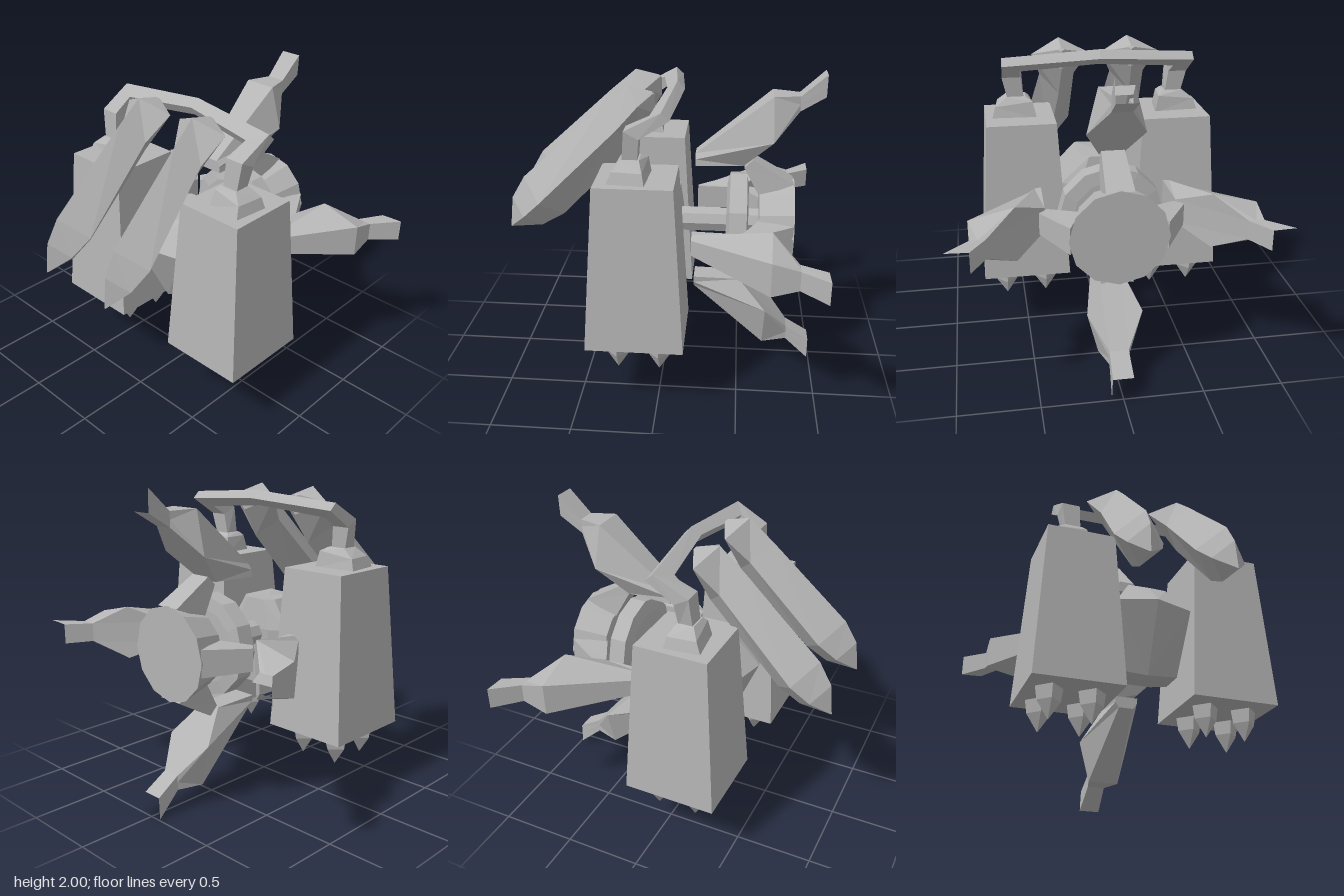
import * as THREE from 'three';

const grey = new THREE.MeshStandardMaterial({ color: 0xb4b4b4, flatShading: true });
grey.name = 'hull grey';

// Faceted skin through rings of equal point count; winding is fixed by signed volume.
function loft(name, rings, openEnd = false) {
  const tris = [];
  const n = rings[0].length;
  for (let i = 0; i < rings.length - 1; i++) {
    for (let j = 0; j < n; j++) {
      const k = (j + 1) % n;
      const a = rings[i][j], b = rings[i][k], c = rings[i + 1][k], d = rings[i + 1][j];
      // Diagonals mirror across the ring's first point
      if (j < n / 2) tris.push([a, b, c], [a, c, d]);
      else tris.push([a, b, d], [b, c, d]);
    }
  }
  const cap = (ring, flip) => {
    const mid = [0, 1, 2].map(q => ring.reduce((s, p) => s + p[q], 0) / n);
    ring.forEach((p, j) => {
      const next = ring[(j + 1) % n];
      tris.push(flip ? [mid, next, p] : [mid, p, next]);
    });
  };
  cap(rings[0], true);
  if (!openEnd) cap(rings[rings.length - 1], false);
  let volume = 0;
  const v = tris.map(t => t.map(p => new THREE.Vector3(...p)));
  v.forEach(t => { volume += t[0].dot(t[1].clone().cross(t[2])); });
  const points = v.flatMap(t => (volume < 0 ? [t[0], t[2], t[1]] : t));
  const geometry = new THREE.BufferGeometry().setFromPoints(points);
  geometry.computeVertexNormals();
  const mesh = new THREE.Mesh(geometry, grey);
  mesh.name = name;
  return mesh;
}

// Horizontal rectangle used as a loft ring
const rect = (x, y, z, hx, hz) =>
  [[x - hx, y, z - hz], [x + hx, y, z - hz], [x + hx, y, z + hz], [x - hx, y, z + hz]];

// Round part along z from [radius, z] pairs, centred on the thruster axis
function turned(name, profile, sides) {
  const rings = profile.map(([r, z]) => Array.from({ length: sides }, (_, i) => {
    const a = (i / sides) * Math.PI * 2 + Math.PI / 2;
    return [r * Math.cos(a), 1 + r * Math.sin(a), z];
  }));
  return loft(name, rings);
}

// Tapered leg block with its claws and stepped collar
function leg(s) {
  const g = new THREE.Group();
  g.name = s > 0 ? 'leftLeg' : 'rightLeg';
  const x = 0.5 * s;
  g.add(loft('legBlock', [rect(x, 0.43, 0.135, 0.285, 0.302), rect(x, 1.47, 0.135, 0.222, 0.236)]));
  const collar = [
    [[0.39, 1.46, 0.055], [0.68, 1.46, 0.07], [0.655, 1.46, 0.3], [0.415, 1.46, 0.265]],
    [[0.415, 1.57, 0.07], [0.655, 1.54, 0.085], [0.635, 1.54, 0.265], [0.43, 1.57, 0.24]],
    [[0.455, 1.595, 0.11], [0.575, 1.595, 0.11], [0.575, 1.595, 0.22], [0.455, 1.595, 0.22]],
  ];
  g.add(loft('collar', collar.map(r => r.map(([px, py, pz]) => [px * s, py, pz]))));
  for (const cx of [0.37, 0.635]) {
    for (const cz of [-0.01, 0.25]) {
      const rings = [[0.088, 0.44], [0.074, 0.345], [0.003, 0.235]].map(([r, y]) =>
        Array.from({ length: 4 }, (_, i) => {
          const a = (i * Math.PI) / 2;
          return [cx * s + r * Math.sin(a), y, cz + r * Math.cos(a)];
        }));
      g.add(loft('claw', rings));
    }
  }
  return g;
}

// Diamond-section pod slanting forward and down: [x, y, z, half width, half depth]
function pod(s) {
  const stations = [
    [0.225, 1.905, 0.06, 0.02, 0.015],
    [0.225, 1.865, 0.135, 0.185, 0.12],
    [0.235, 1.7, 0.275, 0.115, 0.155],
    [0.26, 1.235, 0.76, 0.156, 0.173],
    [0.265, 1.125, 0.873, 0.11, 0.13],
    [0.27, 1.02, 0.983, 0.004, 0.004],
  ];
  const rings = stations.map(([x, y, z, hx, hu]) => Array.from({ length: 4 }, (_, i) => {
    const a = (i * Math.PI) / 2;
    const u = hu * Math.cos(a) * Math.SQRT1_2;
    return [s * (x + hx * Math.sin(a)), y + u, z + u];
  }));
  return loft(s > 0 ? 'leftPod' : 'rightPod', rings);
}

// Half of the bent handle: across, forward, then down into the collar
function handle(s) {
  const rings = [
    [[0, 1.93, -0.07], [0, 1.88, -0.118], [0, 1.83, -0.04], [0, 1.885, -0.005]],
    [[0.605, 1.885, -0.02], [0.605, 1.84, -0.068], [0.495, 1.785, 0.02], [0.495, 1.84, 0.055]],
    [[0.595, 1.77, 0.197], [0.605, 1.725, 0.108], [0.485, 1.725, 0.108], [0.475, 1.77, 0.197]],
    [[0.57, 1.57, 0.212], [0.57, 1.57, 0.122], [0.468, 1.57, 0.122], [0.468, 1.57, 0.212]],
  ];
  return loft(s > 0 ? 'leftHandle' : 'rightHandle', rings.map(r => r.map(([x, y, z]) => [x * s, y, z])));
}

// Ring of mirrored pairs, outer to inner: [radius, half width, z]
const pairs = (...p) => [
  ...p.map(([r, w, z]) => [w, r, z]),
  ...p.slice().reverse().map(([r, w, z]) => [-w, r, z]),
];

// Rear fin with its open nozzle tip, and the strut joining it to the thruster
function fin(i) {
  const g = new THREE.Group();
  g.name = 'rearFin' + (i + 1);
  g.add(loft('fin', [
    pairs([0.475, 0.05, -0.192], [0.44, 0.075, -0.192], [0.398, 0.08, -0.192]),
    pairs([0.865, 0.105, -0.67], [0.59, 0.175, -0.68], [0.405, 0.075, -0.5]),
    pairs([0.86, 0.06, -0.835], [0.81, 0.06, -0.835], [0.765, 0.06, -0.835]),
    pairs([1, 0.07, -0.99], [0.93, 0.068, -0.99], [0.86, 0.065, -0.99]),
  ], true));
  g.add(loft('strut', [
    pairs([0.29, 0.085, -0.825], [0.2, 0.085, -0.61]),
    pairs([0.445, 0.07, -0.56], [0.39, 0.07, -0.505]),
  ]));
  g.position.y = 1;
  g.rotation.z = (i * Math.PI) / 2;
  return g;
}

// Faceted torso: [y centre, y sides, half width, front z, side z, back z]
function torso() {
  const rows = [
    [0.605, 0.65, 0.235, 0.22, 0.14, -0.08],
    [1.05, 1.04, 0.25, 0.41, 0.34, -0.11],
    [1.21, 1.23, 0.13, 0.25, 0.21, -0.09],
  ];
  return loft('torso', rows.map(([yc, ys, hx, zf, zs, zb]) => [
    [0, yc, zf], [hx, ys, zs], [hx, ys, zb * 0.4], [hx * 0.55, ys, zb],
    [-hx * 0.55, ys, zb], [-hx, ys, zb * 0.4], [-hx, ys, zs],
  ]));
}

export function createModel() {
  const model = new THREE.Group();
  model.name = 'machine';
  for (const s of [1, -1]) model.add(leg(s), pod(s), handle(s));
  model.add(torso());

  // Thruster stack on the rear axis
  model.add(turned('axle', [[0.085, -0.05], [0.085, -0.62]], 8));
  model.add(turned('thrusterRing', [[0.24, -0.4], [0.325, -0.42], [0.325, -0.53], [0.24, -0.54]], 12));
  model.add(turned('thrusterBell', [[0.24, -0.61], [0.3, -0.83]], 12));
  for (let i = 0; i < 4; i++) model.add(fin(i));
  return model;
}
